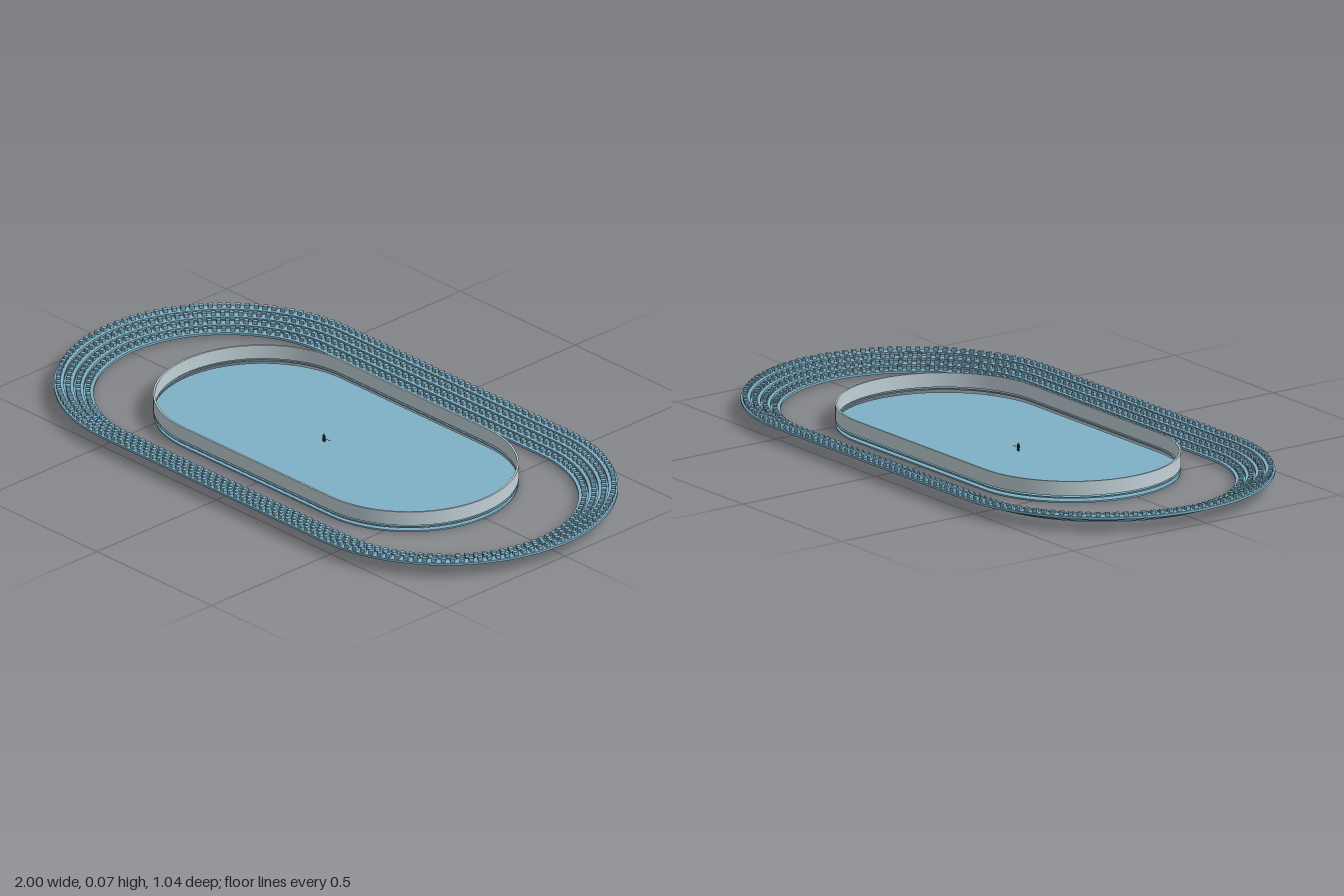
import * as THREE from 'three';
import { mergeGeometries, toCreasedNormals } from 'three/addons/utils/BufferGeometryUtils.js';

const teal = new THREE.MeshStandardMaterial({ name: 'iceBlue', color: 0x7fb0c6 });
const glass = new THREE.MeshStandardMaterial({ name: 'paleGlass', color: 0xc2d2d8 });
const dark = new THREE.MeshStandardMaterial({ name: 'darkCloth', color: 0x26323a });
const tan = new THREE.MeshStandardMaterial({ name: 'tan', color: 0xc89a6a });

// Stadium outline: two half circles of radius r joined by straights of half length h
function outline(PathType, h, r) {
  const p = new PathType();
  p.moveTo(-h, -r);
  p.lineTo(h, -r);
  p.absarc(h, 0, r, -Math.PI / 2, Math.PI / 2, false);
  p.lineTo(-h, r);
  p.absarc(-h, 0, r, Math.PI / 2, Math.PI * 1.5, false);
  return p;
}

// Flat slab or ring with a stadium outline, between two heights
function slab(name, material, h, outer, inner, y0, y1) {
  const shape = outline(THREE.Shape, h, outer);
  if (inner) shape.holes.push(outline(THREE.Path, h, inner));
  const geo = new THREE.ExtrudeGeometry(shape, { depth: y1 - y0, bevelEnabled: false, curveSegments: 48 });
  geo.rotateX(-Math.PI / 2);
  geo.translate(0, y0, 0);
  const mesh = new THREE.Mesh(toCreasedNormals(geo, 0.5), material);
  mesh.name = name;
  return mesh;
}

// Point and outward direction at distance s along a stadium outline
function along(h, r, s) {
  const arc = Math.PI * r;
  const half = 2 * h + arc;
  const sign = s < half ? 1 : -1;
  const t = s % half;
  if (t < 2 * h) return { x: sign * (t - h), z: sign * r, angle: sign > 0 ? 0 : Math.PI };
  const a = (t - 2 * h) / r;
  return {
    x: sign * (h + r * Math.sin(a)),
    z: sign * r * Math.cos(a),
    angle: a + (sign > 0 ? 0 : Math.PI),
  };
}

// One row of seats, evenly spaced around a tier
function seatRow(h, r, y) {
  const length = 4 * h + 2 * Math.PI * r;
  const count = Math.round(length / 0.028);
  const seats = [];
  for (let i = 0; i < count; i++) {
    const p = along(h, r, ((i + 0.5) / count) * length);
    const seat = new THREE.BoxGeometry(0.014, 0.011, 0.014);
    seat.rotateY(p.angle);
    seat.translate(p.x, y + 0.0055, p.z);
    seats.push(seat);
  }
  const mesh = new THREE.Mesh(mergeGeometries(seats), teal);
  mesh.name = 'seatRow';
  return mesh;
}

function part(name, geo, material, x, y, z) {
  const mesh = new THREE.Mesh(geo, material);
  mesh.name = name;
  mesh.position.set(x, y, z);
  return mesh;
}

export function createModel() {
  const model = new THREE.Group();
  model.name = 'iceArena';

  // Ice sheet, lower rail and glass wall
  const rink = new THREE.Group();
  rink.name = 'rink';
  rink.add(slab('ice', teal, 0.32, 0.33, 0, 0, 0.005));
  rink.add(slab('lowerRail', teal, 0.32, 0.331, 0.325, 0.014, 0.018));
  rink.add(slab('glassWall', glass, 0.32, 0.331, 0.325, 0.023, 0.068));
  model.add(rink);

  // Four rising tiers, each with a row of seats
  const stands = new THREE.Group();
  stands.name = 'stands';
  for (let i = 0; i < 4; i++) {
    const inner = 0.4 + 0.03 * i;
    const y = 0.007 + 0.0113 * i;
    stands.add(slab('tier', teal, 0.48, inner + 0.03, inner, y, y + 0.0075));
    stands.add(seatRow(0.48, inner + 0.017, y + 0.0075));
  }
  model.add(stands);

  // Small skater near the middle of the ice
  const skater = new THREE.Group();
  skater.name = 'skater';
  for (const side of [-1, 1]) {
    skater.add(part('leg', new THREE.BoxGeometry(0.003, 0.01, 0.004), dark, side * 0.0025, 0.005, 0));
  }
  skater.add(part('torso', new THREE.BoxGeometry(0.009, 0.01, 0.005), dark, 0, 0.015, 0));
  skater.add(part('head', new THREE.SphereGeometry(0.003, 12, 8), tan, 0, 0.0225, 0));
  skater.add(part('stick', new THREE.BoxGeometry(0.02, 0.0015, 0.002), tan, 0.016, 0.011, 0));
  skater.position.set(-0.052, 0.005, 0);
  model.add(skater);

  return model;
}
